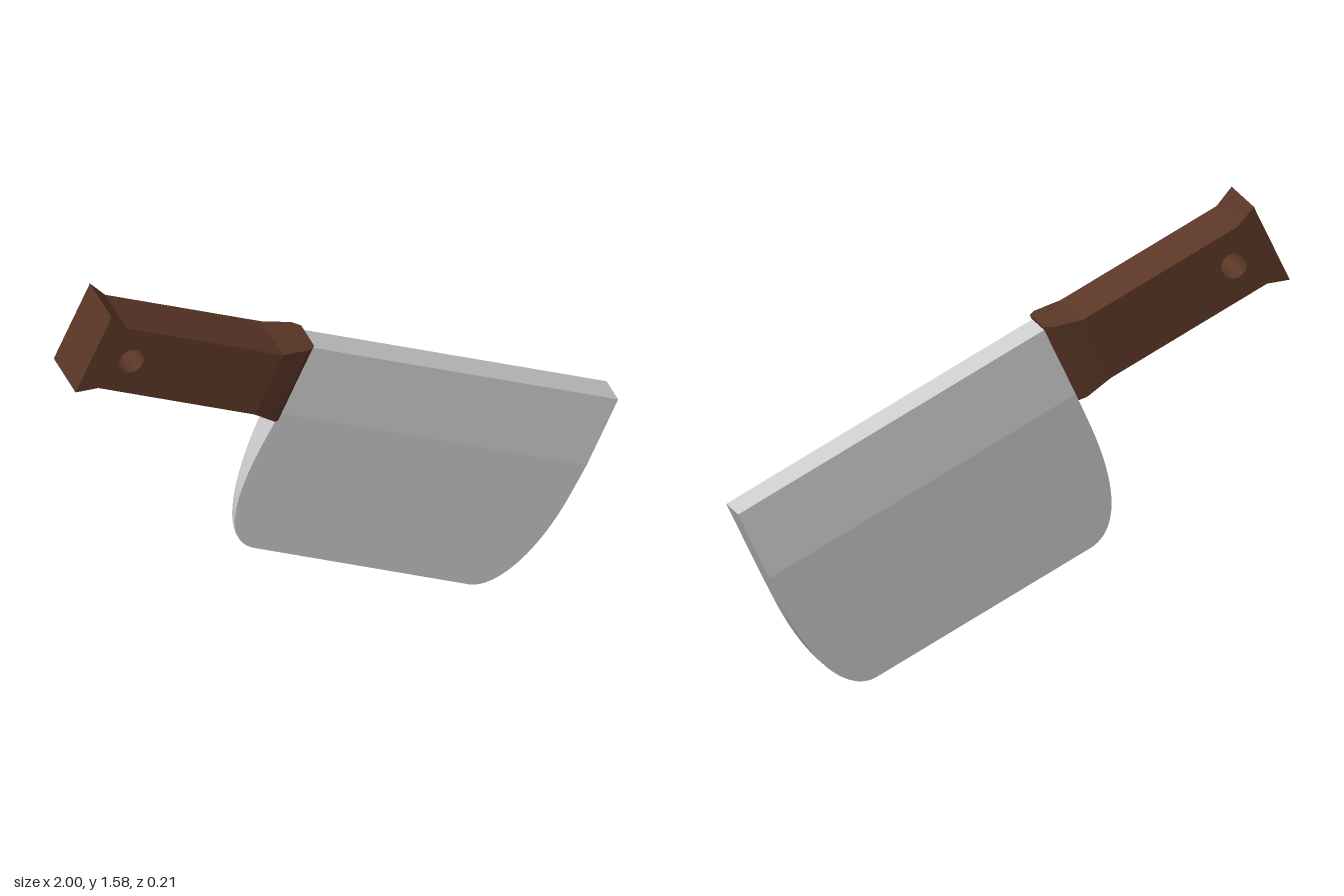
import * as THREE from 'three';

const v2 = (x, y) => new THREE.Vector2(x, y);

// Closed, flat-shaded solid through a row of four-cornered cross-sections.
function loft(rings) {
  const pos = [];
  const tri = (a, b, c) => pos.push(...a, ...b, ...c);
  for (let k = 0; k < rings.length - 1; k++) {
    const A = rings[k], B = rings[k + 1];
    for (let i = 0; i < 4; i++) {
      const j = (i + 1) % 4;
      tri(A[i], B[i], B[j]);
      tri(A[i], B[j], A[j]);
    }
  }
  const S = rings[0], E = rings[rings.length - 1];
  tri(S[0], S[1], S[2]); tri(S[0], S[2], S[3]);
  tri(E[0], E[2], E[1]); tri(E[0], E[3], E[2]);
  const g = new THREE.BufferGeometry();
  g.setAttribute('position', new THREE.Float32BufferAttribute(pos, 3));
  g.computeVertexNormals();
  return g;
}

// Blade: level slices from spine to cutting edge, thinning below the bevel line.
function bladeGeometry() {
  const bevel = -0.275, edge = -0.842, steps = 22;
  const left = new THREE.CubicBezierCurve(v2(0, -0.4), v2(0, -0.67), v2(0.06, edge), v2(0.183, edge));
  const right = new THREE.CubicBezierCurve(v2(1.237, -0.4), v2(1.237, -0.67), v2(1.15, edge), v2(1.045, edge));
  const slice = (l, r, y) => {
    const t = Math.max(0, (bevel - y) / (bevel - edge));
    const h = THREE.MathUtils.lerp(0.056, 0.004, t);
    return [[l, y, h], [r, y, h], [r, y, -h], [l, y, -h]];
  };
  const rings = [slice(0, 1.237, 0), slice(0, 1.237, bevel)];
  for (let i = 0; i <= steps; i++) {
    const a = left.getPoint(i / steps), b = right.getPoint(i / steps);
    rings.push(slice(a.x, b.x, a.y));
  }
  return loft(rings);
}

// Grip: flared butt and straight body with a hanging hole.
function gripGeometry() {
  const shape = new THREE.Shape([
    v2(-0.834, -0.3), v2(-0.757, -0.268), v2(-0.126, -0.268),
    v2(-0.126, -0.02), v2(-0.757, -0.02), v2(-0.834, 0.014),
  ]);
  const hole = new THREE.Path();
  hole.absarc(-0.682, -0.143, 0.047, 0, Math.PI * 2, true);
  shape.holes.push(hole);
  const g = new THREE.ExtrudeGeometry(shape, { depth: 0.208, bevelEnabled: false, curveSegments: 16 });
  return g.translate(0, 0, -0.104);
}

// Collar: flares in height and narrows towards the blade.
function collarGeometry() {
  const sections = [ // x, bottom, top, half width
    [-0.126, -0.268, -0.02, 0.104],
    [-0.025, -0.293, 0.007, 0.086],
    [0, -0.3, 0.014, 0.062],
  ];
  return loft(sections.map(([x, b, t, w]) => [[x, b, -w], [x, b, w], [x, t, w], [x, t, -w]]));
}

export function createModel() {
  const steel = new THREE.MeshStandardMaterial({ color: 0xcccccc });
  const wood = new THREE.MeshStandardMaterial({ color: 0x5a3626 });
  const model = new THREE.Group();
  model.name = 'cleaver';

  // Everything is built level, then tilted blade-down.
  const tilted = new THREE.Group();
  tilted.name = 'tiltedCleaver';
  tilted.position.set(-0.12, 1.22, 0);
  tilted.rotation.z = -0.4345;
  model.add(tilted);

  const add = (name, geometry, material) => {
    const mesh = new THREE.Mesh(geometry, material);
    mesh.name = name;
    tilted.add(mesh);
    return mesh;
  };
  add('blade', bladeGeometry(), steel).position.z = -0.003;
  add('grip', gripGeometry(), wood);
  add('collar', collarGeometry(), wood);
  return model;
}
